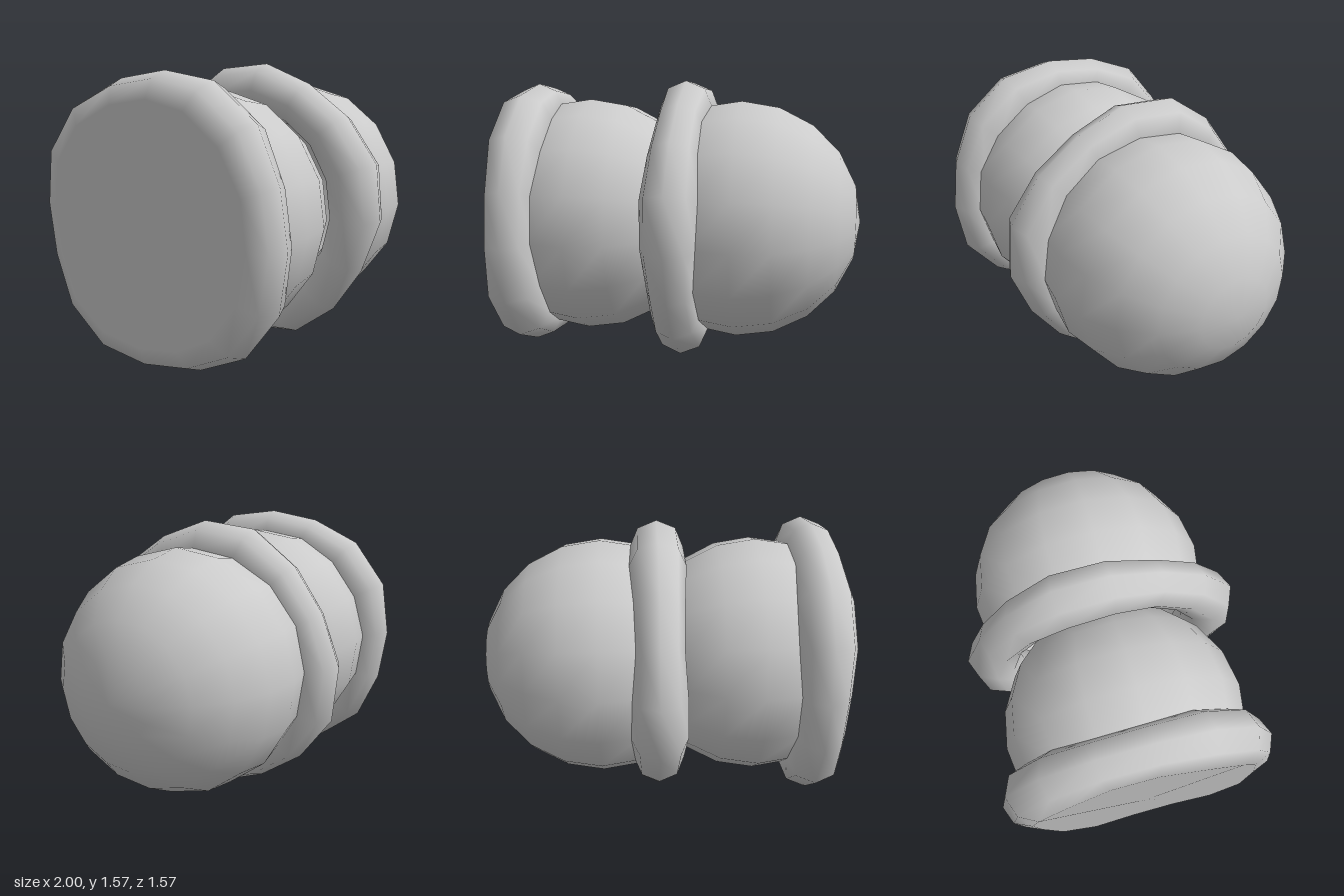
import * as THREE from 'three';
import { mergeVertices } from 'three/addons/utils/BufferGeometryUtils.js';

const SIDES = 16;
const CENTER_Y = 0.785;
const PHASE = THREE.MathUtils.degToRad(3.6);
const material = new THREE.MeshStandardMaterial({ color: 0xcccccc, side: THREE.DoubleSide });

function addMesh(group, name, geometry, x) {
  const mesh = new THREE.Mesh(geometry, material);
  mesh.name = name;
  mesh.position.set(x, CENTER_Y, 0);
  group.add(mesh);
}

// Part of a sphere with its pole on the x axis; steps of 18 degrees from the +x pole
function bulge(fromStep, toStep) {
  const step = Math.PI / 10;
  return new THREE.SphereGeometry(0.675, SIDES, toStep - fromStep, PHASE, Math.PI * 2,
    fromStep * step, (toStep - fromStep) * step).rotateZ(-Math.PI / 2);
}

// Ring radius and tube radius, swelling four times around; u runs from -z up to +y
function ringSize(u, peak) {
  const wave = Math.cos(4 * (Math.PI / 2 - PHASE - u - THREE.MathUtils.degToRad(peak)));
  return { radius: 0.634 + 0.012 * wave, tube: 0.142 + 0.012 * wave };
}

// Wavy torus around the x axis
function wavyRing(peak) {
  let g = new THREE.TorusGeometry(1, 0.1, 8, SIDES);
  g.deleteAttribute('uv');
  g.deleteAttribute('normal');
  g = mergeVertices(g);
  const p = g.attributes.position;
  for (let i = 0; i < p.count; i++) {
    const u = Math.atan2(p.getY(i), p.getX(i));
    const { radius, tube } = ringSize(u, peak);
    const rho = radius + (Math.hypot(p.getX(i), p.getY(i)) - 1) * tube / 0.1;
    p.setXYZ(i, rho * Math.cos(u), rho * Math.sin(u), p.getZ(i) * tube / 0.1);
  }
  g.rotateZ(PHASE).rotateY(Math.PI / 2);
  g.computeVertexNormals();
  return g;
}

// Flat disc meeting the crest of the end ring, facing -x
function endDisc(peak) {
  const g = new THREE.CircleGeometry(1, SIDES);
  const p = g.attributes.position;
  for (let i = 1; i < p.count; i++) {
    const u = Math.atan2(p.getY(i), p.getX(i));
    const { radius, tube } = ringSize(Math.PI - u, peak);
    p.setXYZ(i, radius * Math.cos(u), radius * Math.sin(u), tube);
  }
  p.setZ(0, 0.142);
  return g.rotateZ(-PHASE).rotateY(-Math.PI / 2);
}

export function createModel() {
  const group = new THREE.Group();
  group.name = 'ringedCapsule';

  // Rounded bodies
  addMesh(group, 'domeBody', bulge(0, 7), 0.325);
  addMesh(group, 'rearBody', bulge(1, 7), -0.54);

  // Rings, with their swellings out of step
  addMesh(group, 'middleRing', wavyRing(13), 0.01);
  addMesh(group, 'endRing', wavyRing(54), -0.848);

  // Closed end
  addMesh(group, 'endDisc', endDisc(54), -0.848);
  return group;
}
